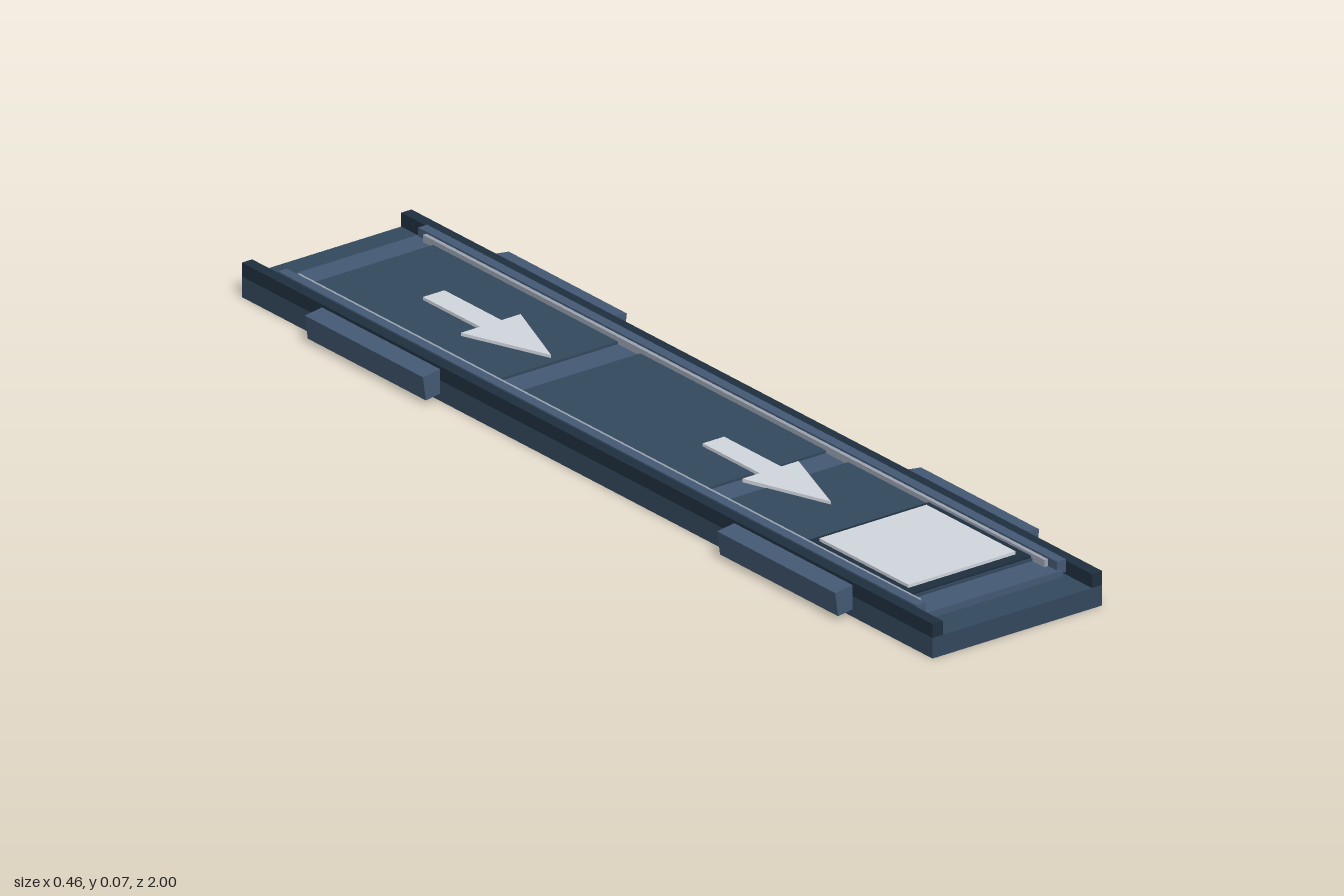
import * as THREE from 'three';

const mat = (color) => new THREE.MeshStandardMaterial({ color });

export function createModel() {
  const model = new THREE.Group();
  const navy = mat(0x34495e), dark = mat(0x1f2f3f), slate = mat(0x445a75), light = mat(0xd3d8e0), metal = mat(0x9aa3b0);

  // Box given by its lower and upper limits on each axis
  function box(name, material, [x0, x1], [y0, y1], [z0, z1]) {
    const mesh = new THREE.Mesh(new THREE.BoxGeometry(x1 - x0, y1 - y0, z1 - z0), material);
    mesh.position.set((x0 + x1) / 2, (y0 + y1) / 2, (z0 + z1) / 2);
    mesh.name = name;
    model.add(mesh);
    return mesh;
  }

  // Base slab and raised deck
  box('base', navy, [-0.19, 0.19], [0, 0.04], [-1, 1]);
  box('deck', slate, [-0.155, 0.155], [0.04, 0.053], [-0.93, 0.93]);

  // Three floor panels, with the deck showing between them
  for (const z of [[-0.87, -0.335], [-0.27, 0.268], [0.332, 0.865]])
    box('floorPanel', navy, [-0.142, 0.142], [0.053, 0.058], z);

  // Landing pad in its dark frame
  box('padFrame', dark, [-0.138, 0.138], [0.056, 0.062], [0.565, 0.862]);
  box('pad', light, [-0.12, 0.12], [0.062, 0.068], [0.582, 0.84]);

  // Rails and tilted bumpers, mirrored left and right
  for (const s of [-1, 1]) {
    const side = (a, b) => [Math.min(s * a, s * b), Math.max(s * a, s * b)];
    box('outerRail', dark, side(0.167, 0.19), [0.04, 0.067], [-1, 1]);
    box('innerRail', slate, side(0.147, 0.167), [0.045, 0.07], [-0.925, 0.925]);
    box('guideStrip', metal, side(0.138, 0.146), [0.053, 0.067], [-0.9, 0.9]);
    for (const z of [-0.597, 0.597]) {
      const bumper = box('sideBumper', slate, [-0.023, 0.023], [-0.0235, 0.0235], [-0.171, 0.171]);
      bumper.position.set(s * 0.2025, 0.036, z);
      bumper.rotation.z = -s * 0.14;
    }
  }

  // Flat arrows pointing to the front
  function arrow(tail, neck, tip, shaft, head) {
    const pts = [[-shaft, tail], [-shaft, neck], [-head, neck], [0, tip], [head, neck], [shaft, neck], [shaft, tail]];
    const shape = new THREE.Shape(pts.map(([x, z]) => new THREE.Vector2(x, -z)));
    const geo = new THREE.ExtrudeGeometry(shape, { depth: 0.007, bevelEnabled: false });
    geo.rotateX(-Math.PI / 2);
    const mesh = new THREE.Mesh(geo, light);
    mesh.position.y = 0.057;
    mesh.name = 'arrow';
    model.add(mesh);
  }
  arrow(-0.69, -0.525, -0.35, 0.024, 0.067);
  arrow(0.12, 0.285, 0.46, 0.024, 0.063);

  return model;
}
